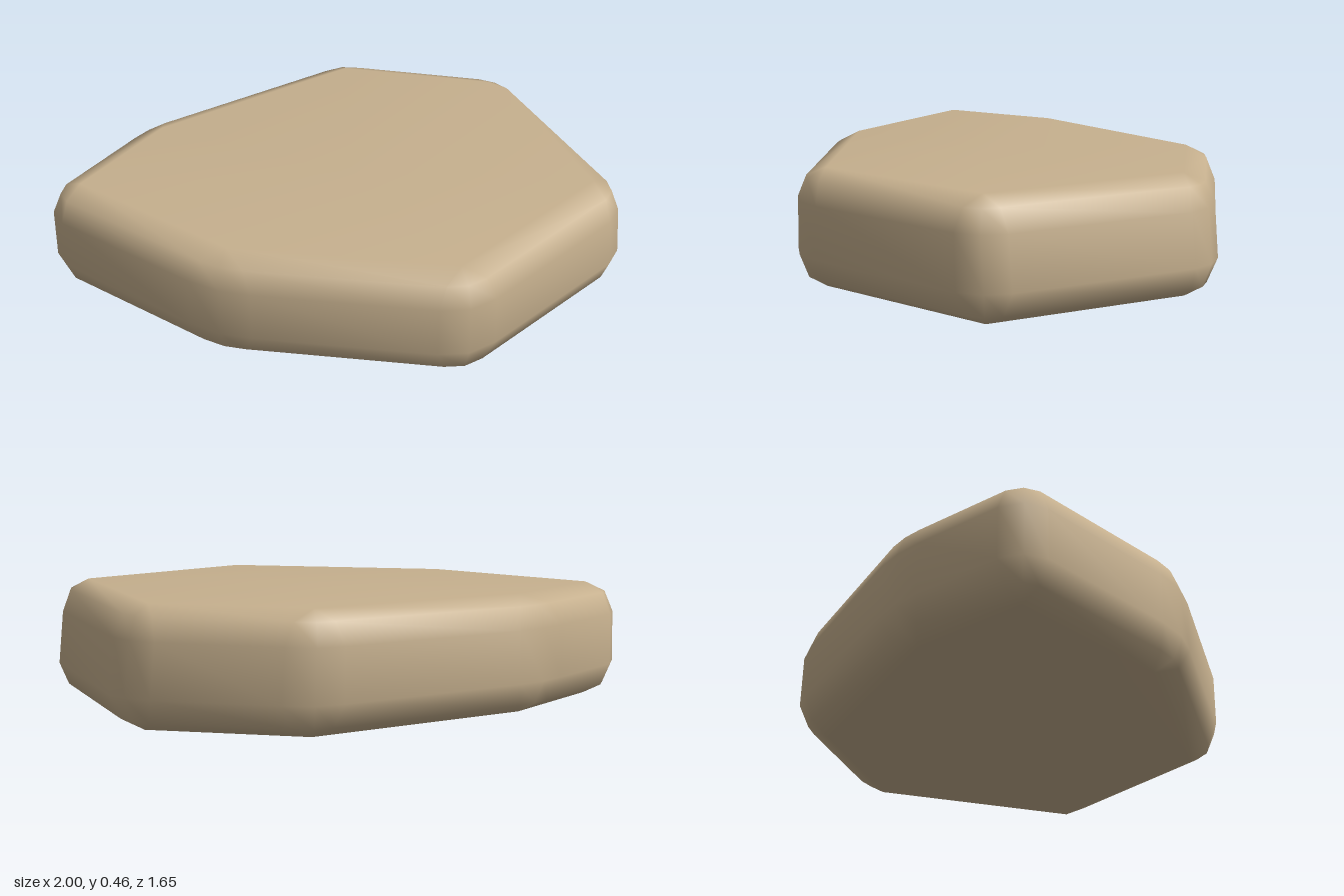
import * as THREE from 'three';
import { mergeVertices } from 'three/addons/utils/BufferGeometryUtils.js';

// Seven rounded corners, three [x, z] points each, clockwise seen from above
const corners = [
  [[-1, -0.51], [-0.99, -0.6], [-0.92, -0.665]],
  [[-0.57, -0.79], [-0.46, -0.82], [-0.34, -0.83]],
  [[0.4, -0.795], [0.51, -0.775], [0.6, -0.7]],
  [[0.93, -0.36], [0.985, -0.27], [1, -0.17]],
  [[0.865, 0.57], [0.82, 0.66], [0.73, 0.71]],
  [[0.06, 0.825], [-0.06, 0.82], [-0.16, 0.76]],
  [[-0.66, 0.29], [-0.74, 0.2], [-0.8, 0.08]],
];
// Edge profile: height, and how far the outline shrinks to the flat face
const profile = [[0.011, 1], [0.052, 0.33], [0.14, 0], [0.34, 0.02], [0.423, 0.32], [0.461, 1]];
const bevel = 0.12;

// Straight edge from a to b moved inward, as n . p = c
function insetEdge(a, b) {
  const dx = b[0] - a[0], dz = b[1] - a[1], len = Math.hypot(dx, dz);
  const nx = -dz / len, nz = dx / len;
  return [nx, nz, nx * a[0] + nz * a[1] + bevel];
}

// Corner of the flat face: where two neighbouring inset edges meet
function faceCorner(i) {
  const n = corners.length;
  const prev = corners[(i + n - 1) % n], cur = corners[i], next = corners[(i + 1) % n];
  const [a, b, c] = insetEdge(prev[2], cur[0]);
  const [d, e, f] = insetEdge(cur[2], next[0]);
  const det = a * e - b * d;
  return [(c * e - b * f) / det, (a * f - c * d) / det];
}

function stoneGeometry() {
  // Stacked loops, with a slightly sloping underside and leaning left flank
  const loops = profile.map(([y, t]) => corners.flatMap((points, i) => {
    const [cx, cz] = faceCorner(i);
    return points.map(([px, pz]) => {
      const x = px + (cx - px) * t, z = pz + (cz - pz) * t;
      const lean = Math.max(x, 0) * 0.02 * THREE.MathUtils.smoothstep(y, 0.14, 0.34);
      return new THREE.Vector3(x - lean, y - 0.008 * x * (1 - y / 0.461), z);
    });
  }));
  const verts = [];
  const tri = (a, b, c) => {
    if (a.distanceTo(b) > 1e-5 && b.distanceTo(c) > 1e-5 && c.distanceTo(a) > 1e-5)
      for (const p of [a, b, c]) verts.push(p.x, p.y, p.z);
  };
  const n = loops[0].length, bottom = loops[0], top = loops[loops.length - 1];
  const low = new THREE.Vector3(0, 0.009, 0), high = new THREE.Vector3(0, 0.461, 0);
  for (let i = 0; i < n; i++) {
    const j = (i + 1) % n;
    for (let k = 0; k < loops.length - 1; k++) {
      const a = loops[k], b = loops[k + 1];
      tri(a[i], b[i], b[j]);
      tri(a[i], b[j], a[j]);
    }
    tri(high, top[j], top[i]);
    tri(low, bottom[i], bottom[j]);
  }
  const geometry = new THREE.BufferGeometry();
  geometry.setAttribute('position', new THREE.Float32BufferAttribute(verts, 3));
  const smooth = mergeVertices(geometry, 1e-4);
  smooth.computeVertexNormals();
  return smooth;
}

export function createModel() {
  const group = new THREE.Group();
  const stone = new THREE.Mesh(stoneGeometry(), new THREE.MeshStandardMaterial({ color: 0xc6b08e }));
  stone.name = 'stone';
  group.add(stone);
  return group;
}
